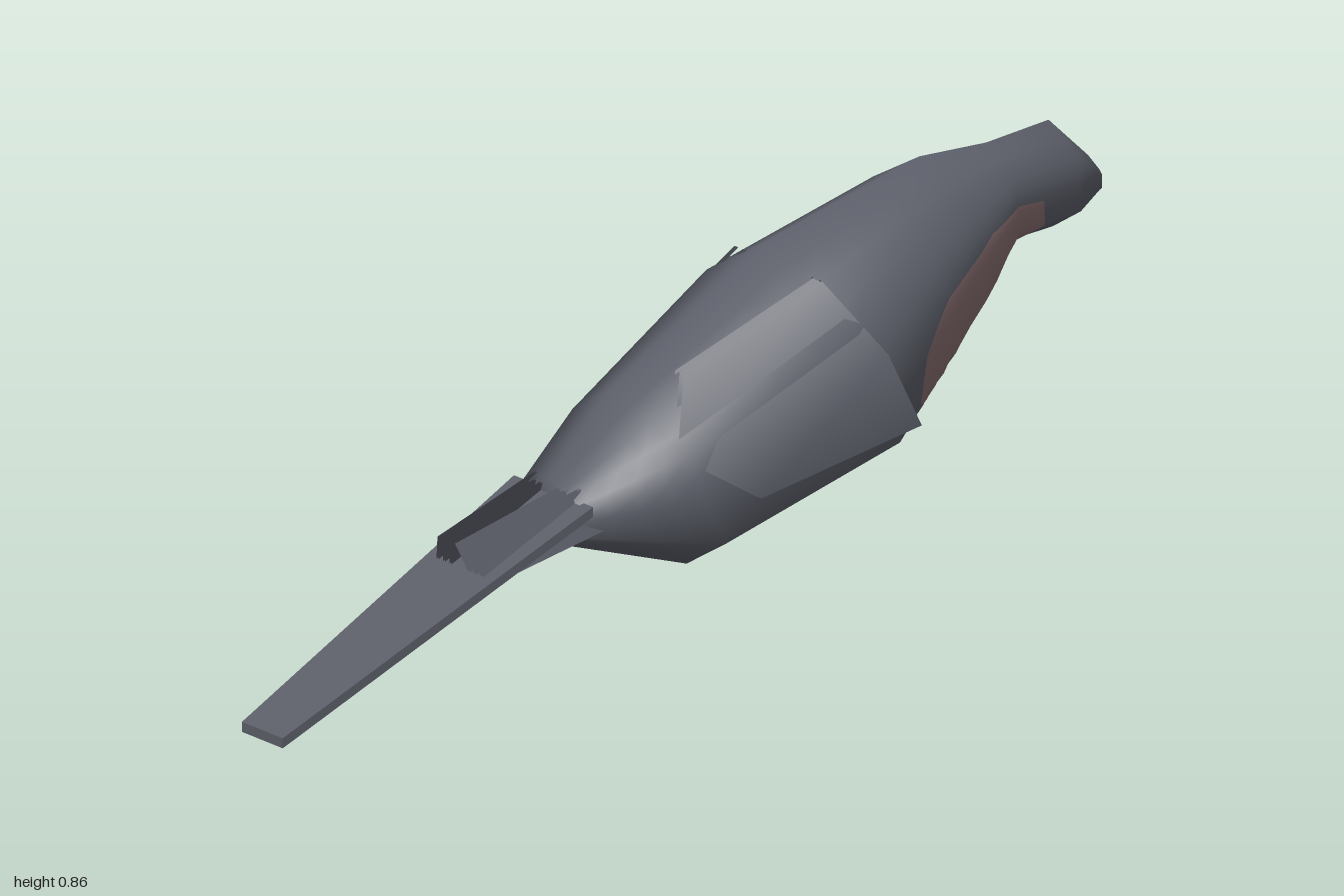
import * as THREE from 'three';

const slate = new THREE.MeshStandardMaterial({ color: 0x5a5d67 });
slate.name = 'slatePlumage';
const slateSheet = new THREE.MeshStandardMaterial({ color: 0x5a5d67, side: THREE.DoubleSide });
slateSheet.name = 'slateFeather';
const rose = new THREE.MeshStandardMaterial({ color: 0x856b6e });
rose.name = 'roseBreast';

// Tilted hexagonal body sections: top x, top y, bottom x, bottom y, half width
const sections = [
  [-0.31, 0.385, -0.30, 0.25, 0.09],
  [-0.16, 0.53, 0.02, 0.145, 0.18],
  [0.20, 0.745, 0.40, 0.26, 0.235],
  [0.58, 0.845, 0.63, 0.51, 0.158],
  [0.74, 0.84, 0.75, 0.63, 0.09],
  [0.89, 0.855, 0.90, 0.64, 0.09],
  [0.985, 0.765, 0.985, 0.685, 0.036],
  [1.0, 0.742, 1.0, 0.69, 0.024],
];

function makeGeometry(points, index) {
  const geo = new THREE.BufferGeometry();
  geo.setAttribute('position', new THREE.Float32BufferAttribute(points.flatMap(p => p.toArray()), 3));
  geo.setIndex(index);
  geo.computeVertexNormals();
  return geo;
}

function mesh(name, geometry, material) {
  const m = new THREE.Mesh(geometry, material);
  m.name = name;
  return m;
}

// Six corners of a section, starting at the top and going round by +z
function ring([tx, ty, bx, by, w]) {
  return [[0, 0], [0.25, w], [0.75, w], [1, 0], [0.75, -w], [0.25, -w]].map(
    ([t, z]) => new THREE.Vector3(tx + (bx - tx) * t, ty + (by - ty) * t, z));
}

function cap([tx, ty, bx, by]) {
  return Array.from({ length: 6 }, () => new THREE.Vector3((tx + bx) / 2, (ty + by) / 2, 0));
}

// Coarse hull with smooth normals, which the body and breast both follow
const rings = [cap(sections[0]), ...sections.map(ring), cap(sections[sections.length - 1])];
const hullIndex = [];
for (let r = 0; r < rings.length - 1; r++) {
  for (let a = 0; a < 6; a++) {
    const b = (a + 1) % 6, p = r * 6, q = p + 6;
    hullIndex.push(p + a, p + b, q + a, p + b, q + b, q + a);
  }
}
const hull = makeGeometry(rings.flat(), hullIndex);

// Bilinear sample of a hull attribute; s counts sections, a counts corners
function sample(attribute, s, a) {
  const r = Math.min(Math.floor(s), rings.length - 2), c = Math.floor(a);
  const at = (i, j) => new THREE.Vector3().fromBufferAttribute(attribute, i * 6 + ((j % 6) + 6) % 6);
  const near = at(r, c).lerp(at(r, c + 1), a - c);
  const far = at(r + 1, c).lerp(at(r + 1, c + 1), a - c);
  return near.lerp(far, s - r);
}

// Surface over the hull; place(u, v) gives [section, corner]
function hullSurface(rows, cols, lift, place) {
  const points = [], normals = [], index = [];
  for (let i = 0; i <= rows; i++) {
    for (let j = 0; j <= cols; j++) {
      const [s, a] = place(i / rows, j / cols);
      const n = sample(hull.attributes.normal, s, a).normalize();
      points.push(sample(hull.attributes.position, s, a).addScaledVector(n, lift));
      normals.push(...n.toArray());
      if (i < rows && j < cols) {
        const p = i * (cols + 1) + j, q = p + cols + 1;
        index.push(p, p + 1, q, p + 1, q + 1, q);
      }
    }
  }
  const geo = makeGeometry(points, index);
  geo.setAttribute('normal', new THREE.Float32BufferAttribute(normals, 3));
  return geo;
}

// Breast half width in corners, along the sections
const breastEdge = [[3.22, 1.0], [3.4, 1.3], [3.67, 1.52], [4.3, 1.62], [5, 1.5], [5.4, 1.45]];
function breastWidth(s) {
  for (let i = 1; i < breastEdge.length; i++) {
    const [s0, w0] = breastEdge[i - 1], [s1, w1] = breastEdge[i];
    if (s <= s1) return w0 + (w1 - w0) * (s - s0) / (s1 - s0);
  }
  return breastEdge[breastEdge.length - 1][1];
}

// Hard-edged strips between successive rows of points
function strips(rows) {
  const points = [], index = [];
  for (let r = 0; r < rows.length - 1; r++) {
    const n = rows[r].length, p = points.length;
    points.push(...rows[r], ...rows[r + 1]);
    for (let j = 0; j < n - 1; j++) {
      index.push(p + j, p + j + 1, p + n + j, p + j + 1, p + n + j + 1, p + n + j);
    }
  }
  return makeGeometry(points, index);
}

// Thin feather layer from a rear and a front edge
function featherLayer(rear, front, shift, thickness, side) {
  const row = (pts, dz) => pts.map(([x, y, z]) => new THREE.Vector3(x, y, (z + dz) * side));
  return strips([row(rear, shift), row(front, shift),
    row(front, shift - thickness), row(rear, shift - thickness)]);
}

export function createModel() {
  const bird = new THREE.Group();
  bird.name = 'bird';

  const last = rings.length - 1;
  bird.add(mesh('body', hullSurface(last * 4, 24, 0, (u, v) => [u * last, v * 6]), slate));
  bird.add(mesh('breast', hullSurface(48, 36, 0.004, (u, v) => {
    const s = 3.22 + u * 2.18;
    return [s, 3 + (v * 2 - 1) * breastWidth(s)];
  }), rose));

  for (const side of [1, -1]) {
    const label = side > 0 ? 'left' : 'right';

    // Folded wing: three layers spreading apart at the front
    const wing = new THREE.Group();
    wing.name = label + 'Wing';
    const wingRear = [[-0.05, 0.56, 0.08], [-0.13, 0.43, 0.165], [0.03, 0.33, 0.218]];
    const wingFront = [[0.24, 0.70, 0.135], [0.28, 0.585, 0.289], [0.365, 0.425, 0.283]];
    for (let i = 0; i < 3; i++) {
      wing.add(mesh('wingFeathers', featherLayer(wingRear, wingFront, -0.025 * i, 0.012, side), slateSheet));
    }
    bird.add(wing);

    // Wing tips lying over the base of the tail
    const tips = new THREE.Group();
    tips.name = label + 'WingTips';
    const tipRear = [[-0.54, 0.30, 0.05], [-0.52, 0.228, 0.08]];
    const tipFront = [[-0.29, 0.375, 0.07], [-0.26, 0.295, 0.105]];
    for (let i = 0; i < 3; i++) {
      tips.add(mesh('tipFeathers', featherLayer(tipRear, tipFront, -0.02 * i, 0.006, side), slateSheet));
    }
    bird.add(tips);
  }

  // Long tail, narrowing towards its end
  const tail = new THREE.BoxGeometry(1, 1, 1);
  const pos = tail.attributes.position;
  for (let i = 0; i < pos.count; i++) {
    const t = pos.getX(i) + 0.5;
    pos.setXYZ(i, -1 + t * 0.7, 0.01 + t * 0.335 + pos.getY(i) * 0.02, pos.getZ(i) * (0.126 + t * 0.118));
  }
  tail.computeVertexNormals();
  bird.add(mesh('tail', tail, slate));

  return bird;
}
